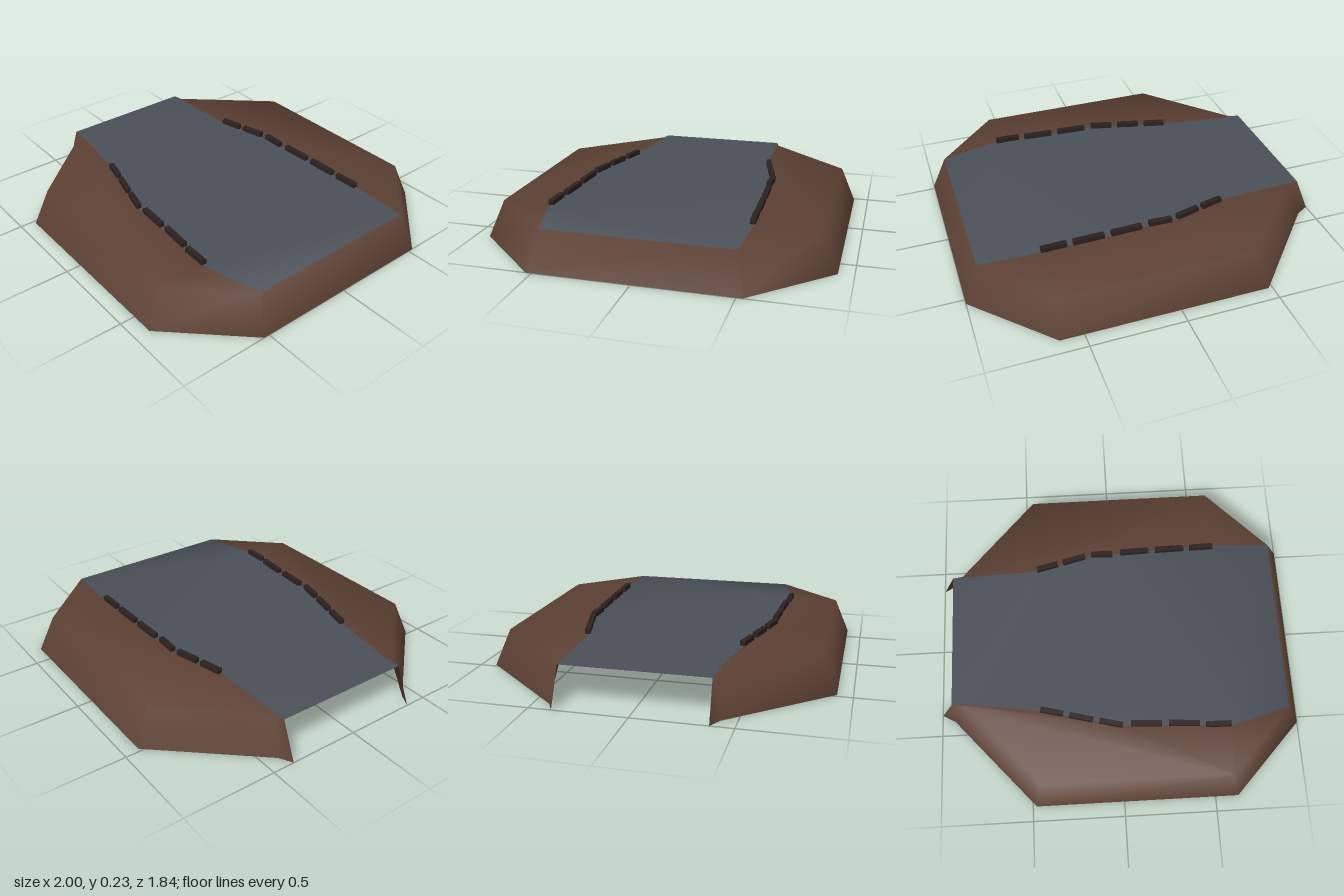
import * as THREE from 'three';

const H = 0.2; // deck height

export function createModel() {
  const earth = new THREE.MeshStandardMaterial({ color: 0x5c4033, side: THREE.DoubleSide });
  earth.name = 'brown earth';
  const paving = new THREE.MeshStandardMaterial({ color: 0x4a5058, side: THREE.DoubleSide });
  paving.name = 'slate grey road';
  const kerbMat = new THREE.MeshStandardMaterial({ color: 0x2b2220 });
  kerbMat.name = 'dark kerb';

  const model = new THREE.Group();
  model.name = 'roadPlatform';

  // Outlines [x, z], from the open -x end round the back, +x side and front
  const mirror = half => [...half, ...half.slice().reverse().map(([x, z]) => [x, -z])];
  const rim = mirror([[-0.915, -0.378], [-0.86, -0.386], [-0.445, -0.84], [0.585, -0.84], [0.92, -0.49]]);
  const foot = mirror([[-1, -0.382], [-0.93, -0.42], [-0.48, -0.92], [0.625, -0.92], [1, -0.53]]);
  // Road edges, each running from +x to -x
  const backEdge = [[0.6, -0.505], [0, -0.483], [-0.1, -0.48], [-0.42, -0.395]];
  const frontEdge = [[0.6, 0.575], [0, 0.545], [-0.42, 0.438], [-0.8, 0.382]];

  const points = [];
  const add = (list, y) => list.map(([x, z]) => points.push(new THREE.Vector3(x, y, z)) - 1);
  const top = add(rim, H);
  const base = add(foot, 0);
  const back = add(backEdge, H);
  const front = add(frontEdge, H);

  // Fill a flat polygon of point indices, facing up
  const fill = ids => {
    const flat = ids.map(i => new THREE.Vector2(points[i].x, -points[i].z));
    return THREE.ShapeUtils.triangulateShape(flat, []).flatMap(t => {
      const up = THREE.ShapeUtils.area(t.map(k => flat[k])) > 0;
      return (up ? t : t.slice().reverse()).map(k => ids[k]);
    });
  };

  // Banks on both sides of the road, then the sloping walls
  const brown = [
    ...fill([...top.slice(0, 5), ...back]),
    ...fill([...top.slice(5), ...front.slice().reverse()]),
  ];
  for (let i = 0; i < top.length - 1; i++) {
    brown.push(top[i], top[i + 1], base[i + 1], top[i], base[i + 1], base[i]);
  }
  const grey = fill([top[0], ...back.slice().reverse(), top[4], top[5], ...front, top[9]]);

  // Road and earth share points so the shading runs smoothly across them
  const geometry = new THREE.BufferGeometry().setFromPoints(points);
  geometry.setIndex([...brown, ...grey]);
  geometry.addGroup(0, brown.length, 0);
  geometry.addGroup(brown.length, grey.length, 1);
  geometry.computeVertexNormals();
  const ground = new THREE.Mesh(geometry, [earth, paving]);
  ground.name = 'banksAndRoad';
  model.add(ground);

  // Kerb blocks along both road edges: x0, z0, x1, z1
  const kerbs = {
    backKerb: [
      [-0.43, -0.4, -0.31, -0.43], [-0.28, -0.437, -0.15, -0.47], [-0.115, -0.48, 0.01, -0.475],
      [0.055, -0.483, 0.22, -0.488], [0.26, -0.489, 0.425, -0.492], [0.46, -0.492, 0.595, -0.495],
    ],
    frontKerb: [
      [-0.43, 0.433, -0.31, 0.462], [-0.275, 0.472, -0.15, 0.504], [-0.115, 0.512, 0.01, 0.543],
      [0.055, 0.537, 0.22, 0.546], [0.26, 0.545, 0.425, 0.556], [0.46, 0.564, 0.595, 0.567],
    ],
  };
  for (const [name, rows] of Object.entries(kerbs)) {
    const group = new THREE.Group();
    group.name = name;
    rows.forEach(([x0, z0, x1, z1], i) => {
      const block = new THREE.Mesh(
        new THREE.BoxGeometry(Math.hypot(x1 - x0, z1 - z0), 0.026, 0.028), kerbMat);
      block.position.set((x0 + x1) / 2, H + 0.014, (z0 + z1) / 2);
      block.rotation.y = -Math.atan2(z1 - z0, x1 - x0);
      block.name = `${name}Block${i + 1}`;
      group.add(block);
    });
    model.add(group);
  }
  return model;
}
